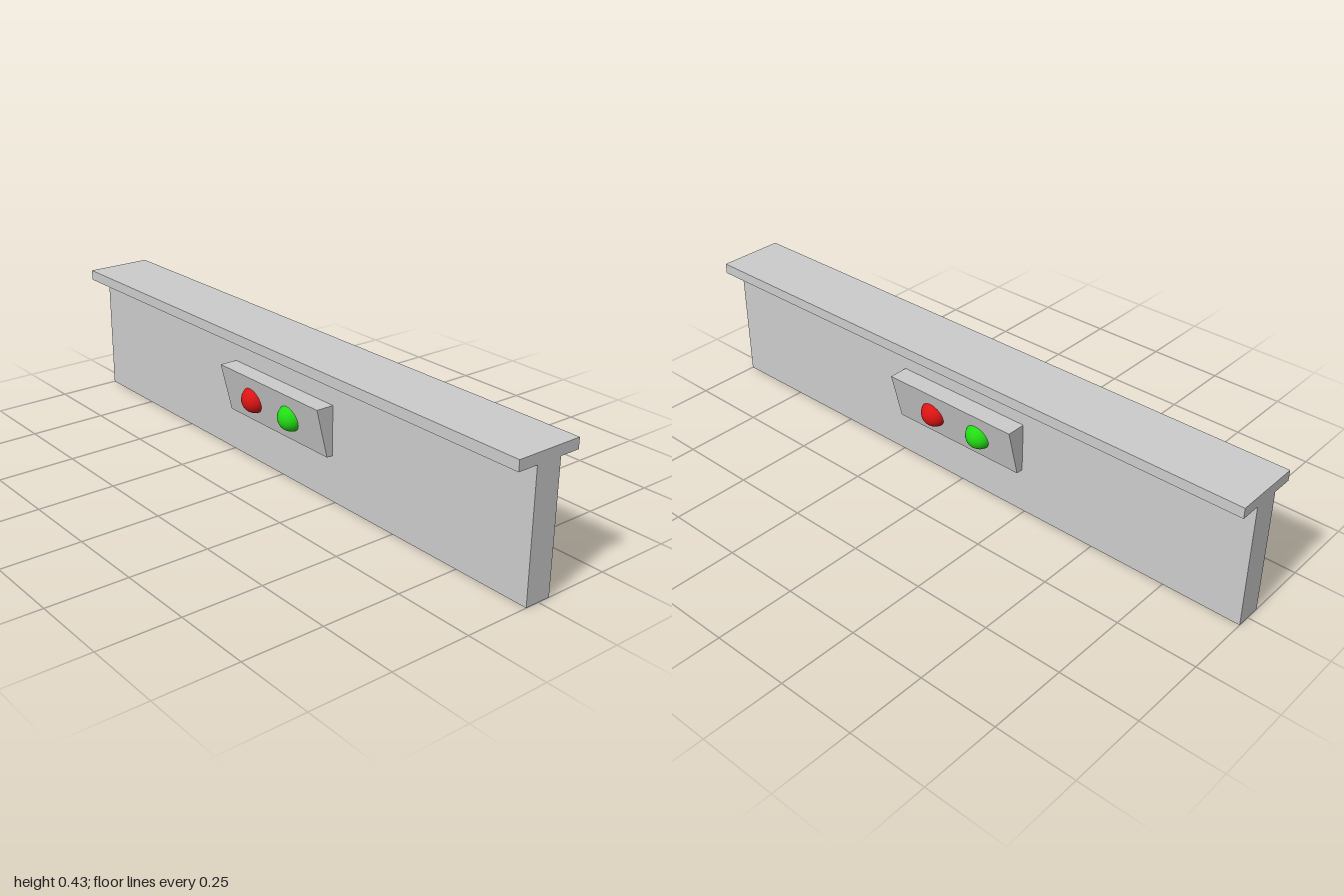
import * as THREE from 'three';

export function createModel() {
  const group = new THREE.Group();
  const grey = new THREE.MeshStandardMaterial({ color: 0xcccccc });
  const red = new THREE.MeshStandardMaterial({ color: 0xdd1414 });
  const green = new THREE.MeshStandardMaterial({ color: 0x22dd14 });

  const add = (name, geometry, material, x, y, z) => {
    const mesh = new THREE.Mesh(geometry, material);
    mesh.name = name;
    mesh.position.set(x, y, z);
    group.add(mesh);
  };

  // T-shaped beam: upright web and flat top flange
  add('beamWeb', new THREE.BoxGeometry(0.085, 0.397, 2), grey, -0.0025, 0.1985, 0);
  add('beamFlange', new THREE.BoxGeometry(0.216, 0.033, 2), grey, -0.0025, 0.4135, 0);

  // Lamp housing: tapered block through the web, wider at the top
  const profile = new THREE.Shape([
    new THREE.Vector2(-0.065, 0.146),
    new THREE.Vector2(0.063, 0.146),
    new THREE.Vector2(0.103, 0.304),
    new THREE.Vector2(-0.104, 0.304),
  ]);
  const housing = new THREE.ExtrudeGeometry(profile, { depth: 0.472, bevelEnabled: false });
  add('lampHousing', housing, grey, 0, 0, -0.237);

  // Signal lamps: red sits left of green on each face
  const lamp = new THREE.SphereGeometry(0.043, 32, 20);
  add('leftRedLamp', lamp, red, 0.073, 0.225, 0.081);
  add('leftGreenLamp', lamp, green, 0.073, 0.225, -0.099);
  add('rightRedLamp', lamp, red, -0.075, 0.225, -0.099);
  add('rightGreenLamp', lamp, green, -0.075, 0.225, 0.081);

  return group;
}
